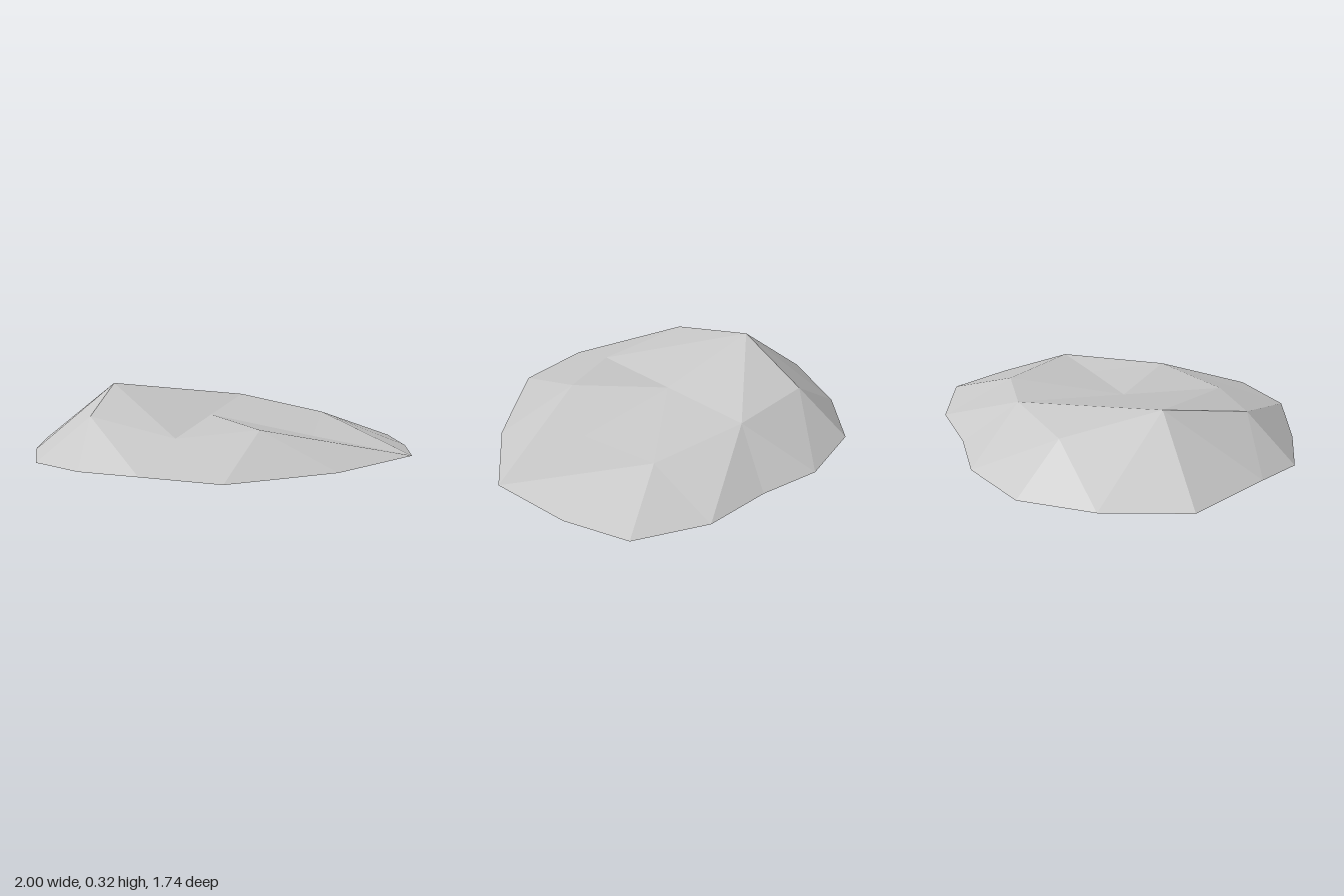
import * as THREE from 'three';

// Rows run from back to front, points in each row from -x to +x: [x, y, z]
const rows = [
  [[-0.62, 0, -0.74], [-0.26, 0, -0.87], [0.06, 0, -0.845], [0.41, 0, -0.87], [0.77, 0, -0.74]],
  [[-0.85, 0, -0.43], [-0.51, 0.22, -0.5], [-0.04, 0.22, -0.575], [0.44, 0.15, -0.5], [0.91, 0, -0.43]],
  [[-1, 0, -0.02], [-0.585, 0.325, -0.02], [-0.04, 0.18, -0.02], [0.5, 0.095, -0.02], [1, 0.02, -0.03]],
  [[-0.85, 0.02, 0.38], [-0.51, 0.215, 0.45], [-0.04, 0.14, 0.52], [0.32, 0.17, 0.33], [0.72, 0, 0.4]],
  [[-0.73, 0, 0.61], [-0.44, 0, 0.75], [-0.09, 0.02, 0.865], [0.29, 0, 0.815], [0.505, 0, 0.61]],
];

// Open faceted shell; each cell is split along its higher diagonal
function shellGeometry() {
  const positions = [];
  for (let r = 0; r < rows.length - 1; r++) {
    for (let c = 0; c < rows[r].length - 1; c++) {
      const a = rows[r][c], b = rows[r + 1][c];
      const d = rows[r][c + 1], e = rows[r + 1][c + 1];
      const corners = a[1] + e[1] >= b[1] + d[1] ? [a, b, e, a, e, d] : [a, b, d, b, e, d];
      positions.push(...corners.flat());
    }
  }
  const geometry = new THREE.BufferGeometry();
  geometry.setAttribute('position', new THREE.Float32BufferAttribute(positions, 3));
  geometry.computeVertexNormals();
  return geometry;
}

export function createModel() {
  const stone = new THREE.MeshStandardMaterial({ color: 0xc8c8c8, flatShading: true, side: THREE.DoubleSide });
  stone.name = 'light grey stone';

  const rock = new THREE.Mesh(shellGeometry(), stone);
  rock.name = 'flatRock';

  const group = new THREE.Group();
  group.name = 'rock';
  group.add(rock);
  return group;
}
